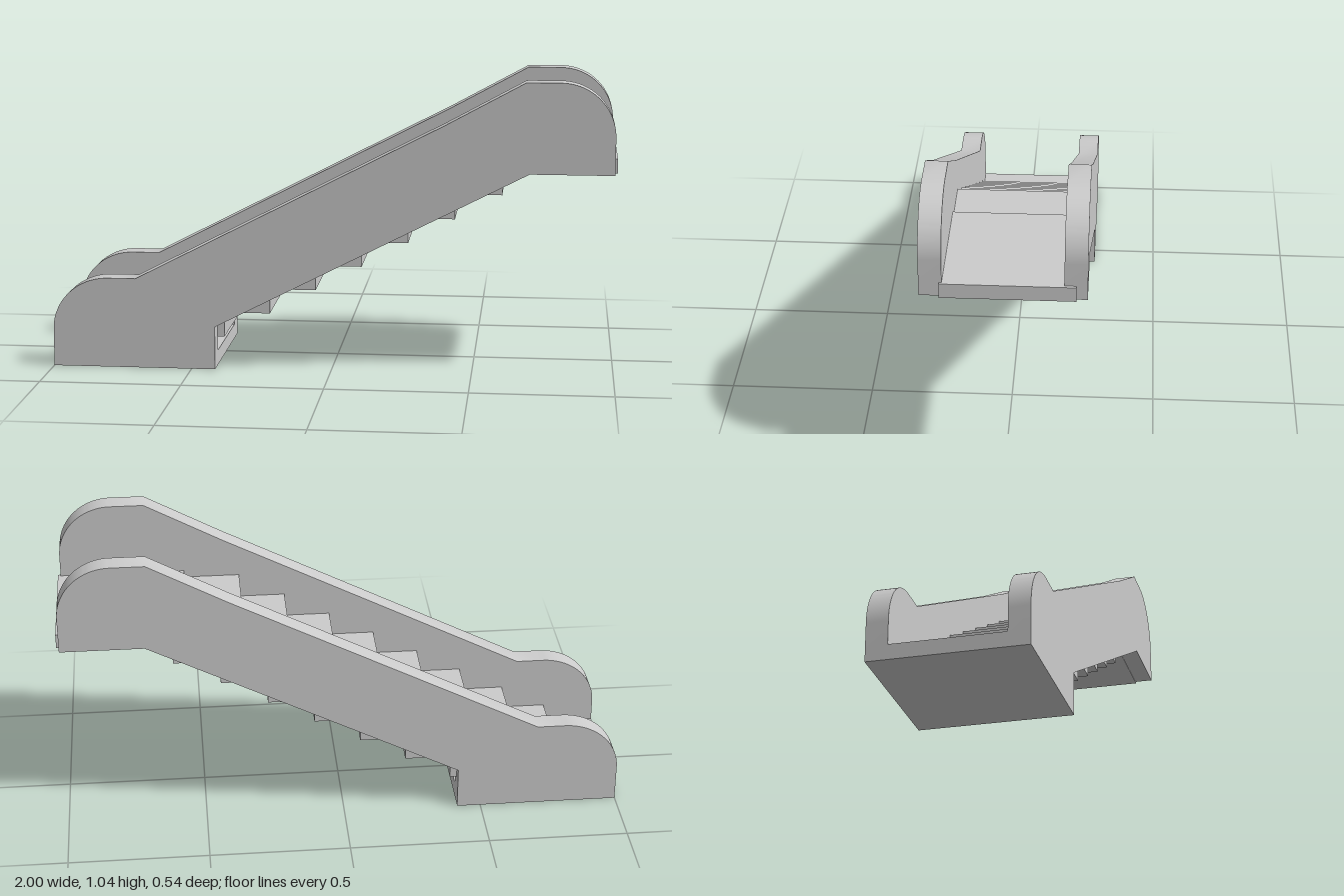
import * as THREE from 'three';
import { toCreasedNormals } from 'three/addons/utils/BufferGeometryUtils.js';

export function createModel() {
  const group = new THREE.Group();
  const material = new THREE.MeshStandardMaterial({ color: 0xcccccc });

  const add = (name, geometry) => {
    const mesh = new THREE.Mesh(geometry, material);
    mesh.name = name;
    group.add(mesh);
    return mesh;
  };

  // Box given by its minimum and maximum on each axis
  const addBox = (name, x0, x1, y0, y1, z0, z1) =>
    add(name, new THREE.BoxGeometry(x1 - x0, y1 - y0, z1 - z0))
      .position.set((x0 + x1) / 2, (y0 + y1) / 2, (z0 + z1) / 2);

  // Side panel outline: rounded lower newel, sloped balustrade, rounded upper newel
  const outline = new THREE.Shape();
  outline.moveTo(-1, 0);
  outline.lineTo(-0.415, 0);
  outline.lineTo(-0.415, 0.155);
  outline.lineTo(0.695, 0.725);
  outline.lineTo(0.99, 0.725);
  outline.lineTo(0.99, 0.855);
  outline.absellipse(0.8, 0.855, 0.19, 0.19, 0, Math.PI / 2, false);
  outline.lineTo(0.68, 1.045);
  outline.lineTo(0.4, 0.892);
  outline.lineTo(-0.7, 0.325);
  outline.lineTo(-0.8, 0.325);
  outline.absellipse(-0.8, 0.135, 0.2, 0.19, Math.PI / 2, Math.PI, false);
  outline.closePath();

  const panel = toCreasedNormals(
    new THREE.ExtrudeGeometry(outline, { depth: 0.075, bevelEnabled: false, curveSegments: 16 }), 0.6);
  add('frontSidePanel', panel).position.z = 0.196;
  add('backSidePanel', panel).position.z = -0.271;

  // Lower and upper landings
  addBox('lowerLanding', -1, -0.415, 0, 0.053, -0.197, 0.197);
  addBox('upperLanding', 0.545, 1, 0.723, 0.775, -0.235, 0.205);

  // Overlapping steps climbing between the panels
  for (let i = 0; i < 8; i++) {
    const x = -0.81 + i * 0.165;
    const y = 0.016 + i * 0.089;
    addBox('step' + (i + 1), x, x + 0.255, y, y + 0.11, -0.235, 0.205);
  }

  return group;
}
